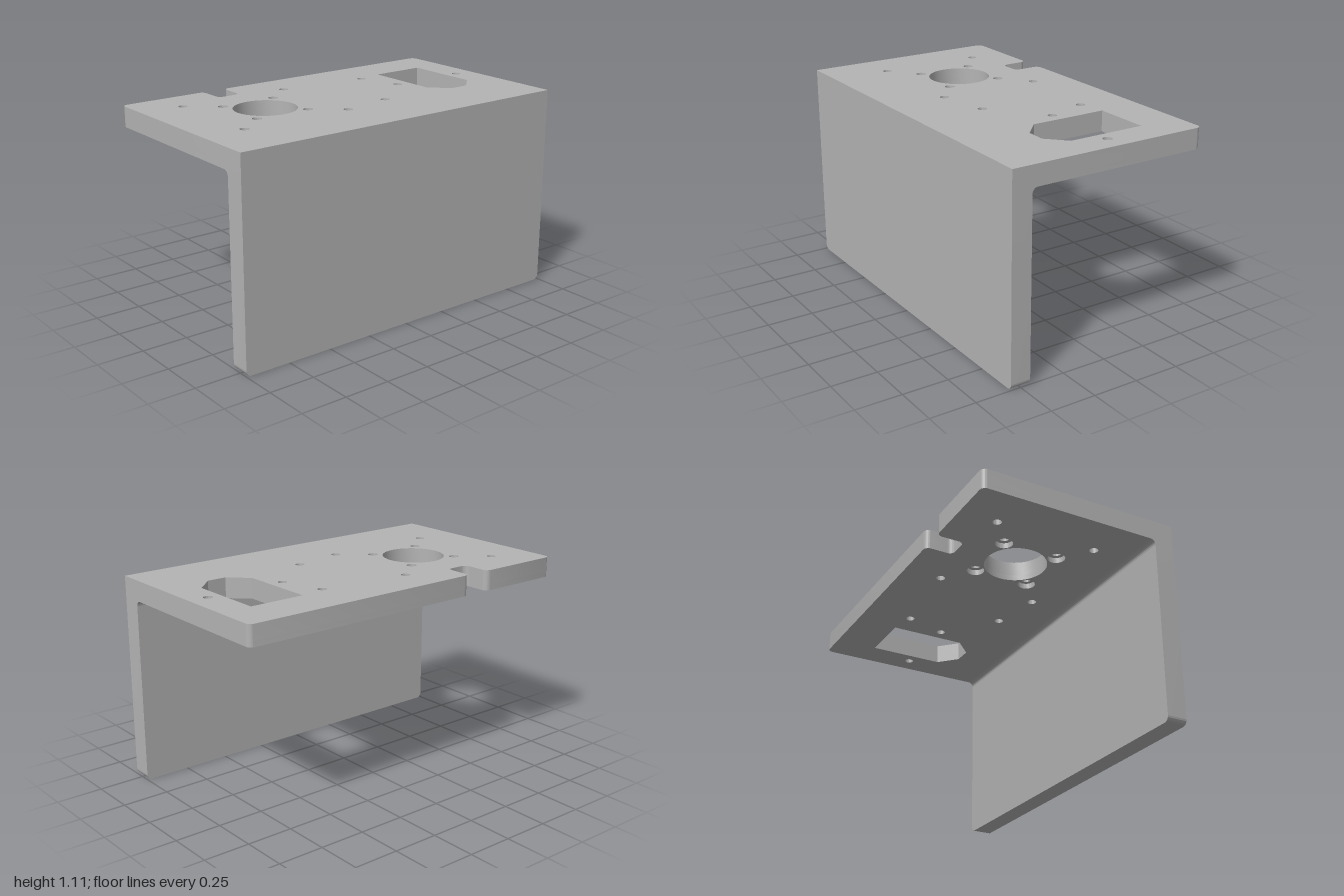
import * as THREE from 'three';
import { toCreasedNormals } from 'three/addons/utils/BufferGeometryUtils.js';

const R = 0.03; // corner radius
const T = 0.11; // plate thickness
const H = 1.11; // overall height
const Z = 0.555; // half depth
const BORE = 0.03; // counterbore depth

// Outline from [x, y, radius] corners, right-angled corners rounded
function outline(corners) {
  const shape = new THREE.Shape();
  const n = corners.length;
  const v = corners.map(([x, y]) => new THREE.Vector2(x, y));
  const toward = (a, b, d) => a.clone().add(b.clone().sub(a).setLength(d));
  corners.forEach(([x, y, r], i) => {
    const p = v[i];
    const prev = v[(i + n - 1) % n];
    const next = v[(i + 1) % n];
    const a = r ? toward(p, prev, r) : p;
    const b = r ? toward(p, next, r) : p;
    if (i === 0) shape.moveTo(a.x, a.y);
    else shape.lineTo(a.x, a.y);
    if (r) {
      const c = a.clone().lerp(p, 0.5523);
      const d = b.clone().lerp(p, 0.5523);
      shape.bezierCurveTo(c.x, c.y, d.x, d.y, b.x, b.y);
    }
  });
  shape.closePath();
  return shape;
}

function circle(x, z, r) {
  const path = new THREE.Path();
  path.absarc(x, -z, r, 0, Math.PI * 2, true);
  return path;
}

function extrude(shape, depth) {
  return new THREE.ExtrudeGeometry(shape, { depth, bevelEnabled: false, curveSegments: 20 });
}

export function createModel() {
  const group = new THREE.Group();
  const metal = new THREE.MeshStandardMaterial({ color: 0xb4b4b4 });
  metal.name = 'grey metal';

  const add = (name, geometry) => {
    const mesh = new THREE.Mesh(toCreasedNormals(geometry, 0.6), metal);
    mesh.name = name;
    group.add(mesh);
  };

  // Upright front plate with rounded lower corners
  const front = outline([[-1, 0, R], [1, 0, R], [1, H, 0], [-1, H, 0]]);
  add('frontPlate', extrude(front, T).translate(0, 0, Z - T));

  // Top plate, in two layers so that the screw holes are counterbored below
  const cx = -0.445;
  const cz = -0.059;
  const screws = [[-1, -1], [1, -1], [-1, 1], [1, 1]].map(([i, j]) => [cx + i * 0.157, cz + j * 0.157]);
  const pins = [
    [cx - 0.317, cz - 0.286], [cx + 0.317, cz - 0.286],
    [cx - 0.317, cz + 0.286], [cx + 0.317, cz + 0.286],
    [0.376, -0.291], [0.16, 0.174], [0.448, cz], [0.893, cz],
  ];

  const topLayer = (screwRadius, depth, y) => {
    const inner = -(Z - T);
    const plate = outline([
      [-1, inner, 0], [1, inner, 0], [1, Z, R],
      [-0.38, Z, R], [-0.38, 0.4, R], [-0.51, 0.4, R], [-0.51, Z, R],
      [-1, Z, R],
    ]);
    // Chamfered window
    const window = new THREE.Path([
      [0.52, 0.32], [0.825, 0.32], [0.825, -0.104],
      [0.725, -0.2], [0.62, -0.2], [0.52, -0.104],
    ].map(([x, h]) => new THREE.Vector2(x, h)));
    window.closePath();
    plate.holes.push(window, circle(cx, cz, 0.168));
    screws.forEach(([x, z]) => plate.holes.push(circle(x, z, screwRadius)));
    pins.forEach(([x, z]) => plate.holes.push(circle(x, z, 0.024)));
    return extrude(plate, depth).rotateX(-Math.PI / 2).translate(0, y, 0);
  };
  add('topPlateUpper', topLayer(0.026, T - BORE, H - T + BORE));
  add('topPlateLower', topLayer(0.047, BORE, H - T));

  // Concave fillet in the inner bend
  const fillet = new THREE.Shape();
  fillet.moveTo(0, 0);
  fillet.lineTo(0, -R);
  fillet.absarc(R, -R, R, Math.PI, Math.PI / 2, true);
  fillet.closePath();
  add('bendFillet', extrude(fillet, 2).rotateY(Math.PI / 2).translate(-1, H - T, Z - T));

  return group;
}
